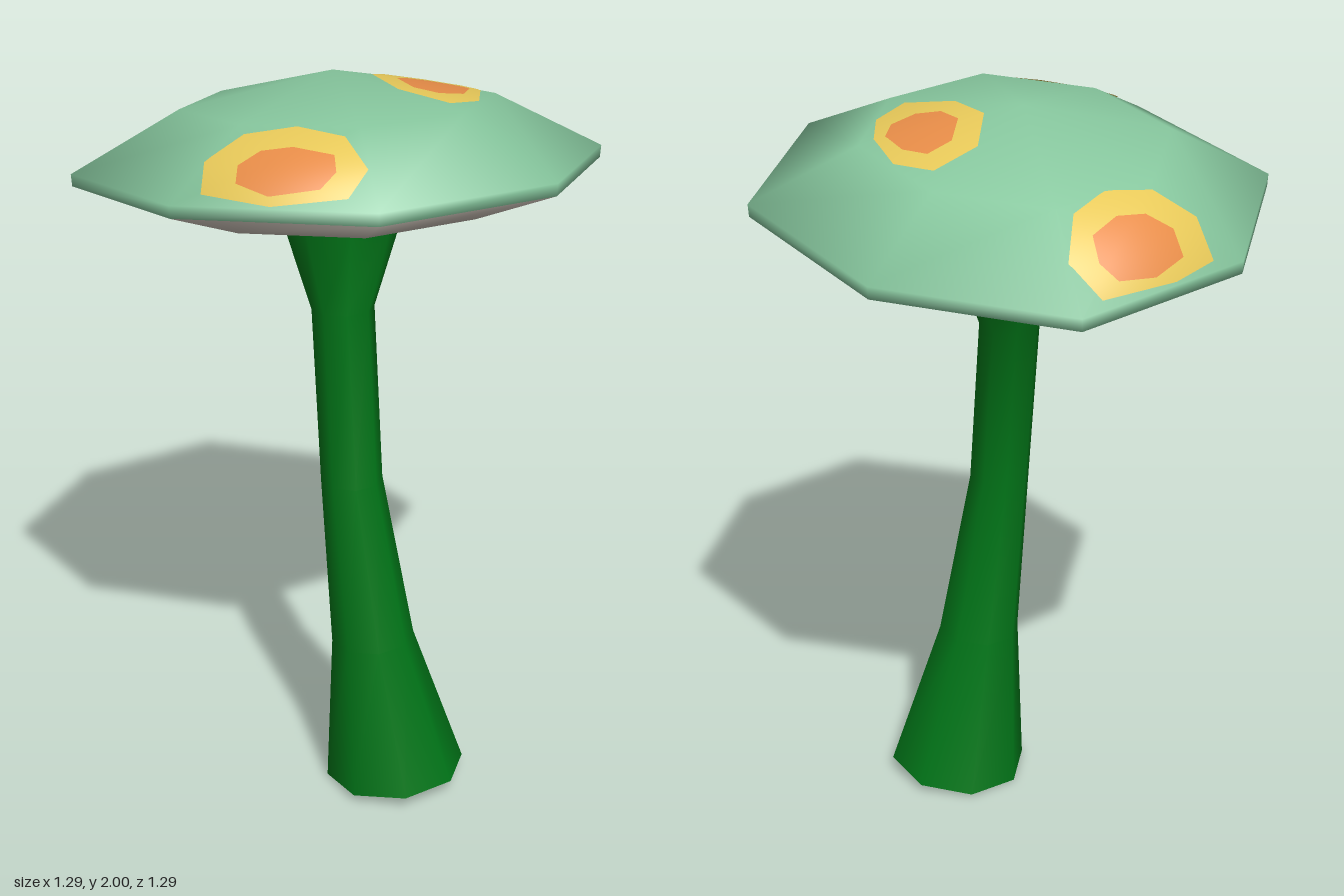
import * as THREE from 'three';
import { mergeVertices } from 'three/addons/utils/BufferGeometryUtils.js';

const SIDES = 8;
const mat = (name, color, side = THREE.FrontSide) => {
  const m = new THREE.MeshStandardMaterial({ color, side });
  m.name = name;
  return m;
};
const vec = (attr, i) => new THREE.Vector3().fromBufferAttribute(attr, i);

// Smooth normals weighted by corner angle, so that thin bands count as much as wide ones
function smoothNormals(geo) {
  const p = geo.attributes.position, idx = geo.index.array;
  const sums = Array.from({ length: p.count }, () => new THREE.Vector3());
  for (let t = 0; t < idx.length; t += 3) {
    const ids = [idx[t], idx[t + 1], idx[t + 2]];
    const c = ids.map((i) => vec(p, i));
    const face = new THREE.Triangle(...c).getNormal(new THREE.Vector3());
    ids.forEach((id, k) => {
      const e = c[(k + 1) % 3].clone().sub(c[k]), f = c[(k + 2) % 3].clone().sub(c[k]);
      sums[id].addScaledVector(face, e.angleTo(f));
    });
  }
  const normals = sums.flatMap((s) => s.normalize().toArray());
  geo.setAttribute('normal', new THREE.Float32BufferAttribute(normals, 3));
}

// Eight-sided skin through tilted rings, listed from bottom to top.
// ring: centre x, y, z, radius, slope along x, slope along z, extra length of the diagonals
// Each band between two rings takes SIDES * 6 indices.
function loft(rings) {
  const pos = [], index = [];
  for (const [cx, cy, cz, r, sx, sz, diag = 1] of rings) {
    for (let i = 0; i < SIDES; i++) {
      const a = (i / SIDES) * Math.PI * 2, rr = i % 2 ? r * diag : r;
      const x = Math.cos(a) * rr, z = Math.sin(a) * rr;
      pos.push(cx + x, cy + x * sx + z * sz, cz + z);
    }
  }
  for (let j = 0; j < rings.length - 1; j++) {
    for (let i = 0; i < SIDES; i++) {
      const a = j * SIDES + i, b = j * SIDES + ((i + 1) % SIDES);
      index.push(a, a + SIDES, b, b, a + SIDES, b + SIDES);
    }
  }
  let geo = new THREE.BufferGeometry();
  geo.setAttribute('position', new THREE.Float32BufferAttribute(pos, 3));
  geo.setIndex(index);
  geo = mergeVertices(geo);
  smoothNormals(geo);
  return geo;
}

// Returns a function giving the point and normal above (x, z) on the faces from index start on
function surfaceSampler(geo, start, lift) {
  const p = geo.attributes.position, n = geo.attributes.normal, idx = geo.index.array;
  return (x, z) => {
    let best = null, bestMin = -Infinity;
    for (let t = start; t < idx.length; t += 3) {
      const ids = [idx[t], idx[t + 1], idx[t + 2]];
      const [a, b, c] = ids.map((i) => vec(p, i));
      const d = (b.z - c.z) * (a.x - c.x) + (c.x - b.x) * (a.z - c.z);
      if (Math.abs(d) < 1e-6) continue;
      const u = ((b.z - c.z) * (x - c.x) + (c.x - b.x) * (z - c.z)) / d;
      const w = ((c.z - a.z) * (x - c.x) + (a.x - c.x) * (z - c.z)) / d;
      const bary = [u, w, 1 - u - w], low = Math.min(...bary);
      if (low > bestMin) { bestMin = low; best = { ids, bary }; }
    }
    const mix = (attr) => best.ids.reduce(
      (s, id, k) => s.addScaledVector(vec(attr, id), best.bary[k]), new THREE.Vector3());
    const point = mix(p);
    point.y += lift;
    return { point, normal: mix(n).normalize() };
  };
}

// Patch between two matching outlines, draped over the surface in small steps
function drape(inner, outer, sample, steps = 6) {
  const pos = [], nor = [], index = [], count = outer.length * steps;
  const along = (loop, i) => {
    const k = Math.floor(i / steps), f = (i % steps) / steps;
    const a = loop[k], b = loop[(k + 1) % loop.length];
    return [a[0] + (b[0] - a[0]) * f, a[1] + (b[1] - a[1]) * f];
  };
  for (let j = 0; j <= steps; j++) {
    for (let i = 0; i < count; i++) {
      const a = along(inner, i), b = along(outer, i), f = j / steps;
      const s = sample(a[0] + (b[0] - a[0]) * f, a[1] + (b[1] - a[1]) * f);
      pos.push(...s.point.toArray());
      nor.push(...s.normal.toArray());
      if (j === steps) continue;
      const p = j * count + i, q = j * count + ((i + 1) % count);
      index.push(p, q, p + count, q, q + count, p + count);
    }
  }
  const geo = new THREE.BufferGeometry();
  geo.setAttribute('position', new THREE.Float32BufferAttribute(pos, 3));
  geo.setAttribute('normal', new THREE.Float32BufferAttribute(nor, 3));
  geo.setIndex(index);
  return geo;
}

// Spot outlines as [x, z], clockwise seen from above
const SPOTS = [
  {
    outer: [[-0.485, -0.4], [-0.39, -0.395], [-0.335, -0.28], [-0.35, -0.16], [-0.42, -0.05], [-0.52, -0.01], [-0.6, -0.07], [-0.57, -0.2]],
    inner: [[-0.485, -0.325], [-0.435, -0.33], [-0.39, -0.285], [-0.4, -0.19], [-0.44, -0.12], [-0.5, -0.09], [-0.55, -0.13], [-0.535, -0.235]],
  },
  {
    outer: [[0.02, -0.335], [0.13, -0.345], [0.24, -0.27], [0.31, -0.16], [0.3, -0.05], [0.165, -0.02], [0.04, -0.08], [-0.025, -0.21]],
    inner: [[0.075, -0.28], [0.145, -0.285], [0.22, -0.25], [0.25, -0.18], [0.225, -0.11], [0.165, -0.085], [0.09, -0.12], [0.05, -0.21]],
  },
  {
    outer: [[0.12, 0.32], [0.25, 0.305], [0.37, 0.375], [0.385, 0.47], [0.23, 0.56], [0.05, 0.59], [-0.015, 0.5], [0.015, 0.39]],
    inner: [[0.155, 0.38], [0.265, 0.365], [0.305, 0.41], [0.305, 0.47], [0.205, 0.535], [0.105, 0.53], [0.07, 0.48], [0.09, 0.42]],
  },
];

export function createModel() {
  const model = new THREE.Group();
  model.name = 'mushroom';
  const capGreen = mat('cap green', 0x87c79e);
  const gillGrey = mat('gill grey', 0xccc2b8);
  const stemGreen = mat('stem green', 0x007618, THREE.DoubleSide);
  const spotYellow = mat('spot yellow', 0xeacb5a, THREE.DoubleSide);
  const spotOrange = mat('spot orange', 0xe88d48, THREE.DoubleSide);
  const add = (name, geo, material) => {
    const mesh = new THREE.Mesh(geo, material);
    mesh.name = name;
    model.add(mesh);
  };

  // Curved hollow stem, flared at both ends
  add('stem', loft([
    [0.193, 0.022, -0.005, 0.192, 0.12, 0],
    [0.145, 0.45, 0.04, 0.112, 0.09, 0],
    [0.09, 0.93, 0.065, 0.082, 0, 0],
    [0.04, 1.395, 0.038, 0.082, 0.08, 0.05],
    [0.01, 1.63, 0, 0.158, 0.11, 0.09],
  ]), stemGreen);

  // Tilted cap in one smooth skin: two grey bands below, then the green rim and dome
  const cap = loft([
    [0, 1.607, 0, 0, 0, 0],
    [0.01, 1.664, 0.005, 0.41, 0.11, 0.09, 1.04],
    [0, 1.743, 0, 0.643, 0.11, 0.09, 1.047],
    [0, 1.775, 0, 0.645, 0.11, 0.09, 1.047],
    [-0.02, 1.918, -0.02, 0.385, 0.11, 0.09, 1.04],
    [-0.03, 2, -0.01, 0, 0, 0],
  ]);
  const band = SIDES * 6;
  cap.addGroup(0, band * 2, 0);
  cap.addGroup(band * 2, band * 3, 1);
  add('cap', cap, [gillGrey, capGreen]);

  // Two-tone spots lying on the dome
  const sample = surfaceSampler(cap, band * 3, 0.003);
  for (const { inner, outer } of SPOTS) {
    const centre = [0, 1].map((k) => inner.reduce((s, p) => s + p[k], 0) / inner.length);
    add('spotRing', drape(inner, outer, sample), spotYellow);
    add('spotCentre', drape(inner.map(() => centre), inner, sample), spotOrange);
  }
  return model;
}
